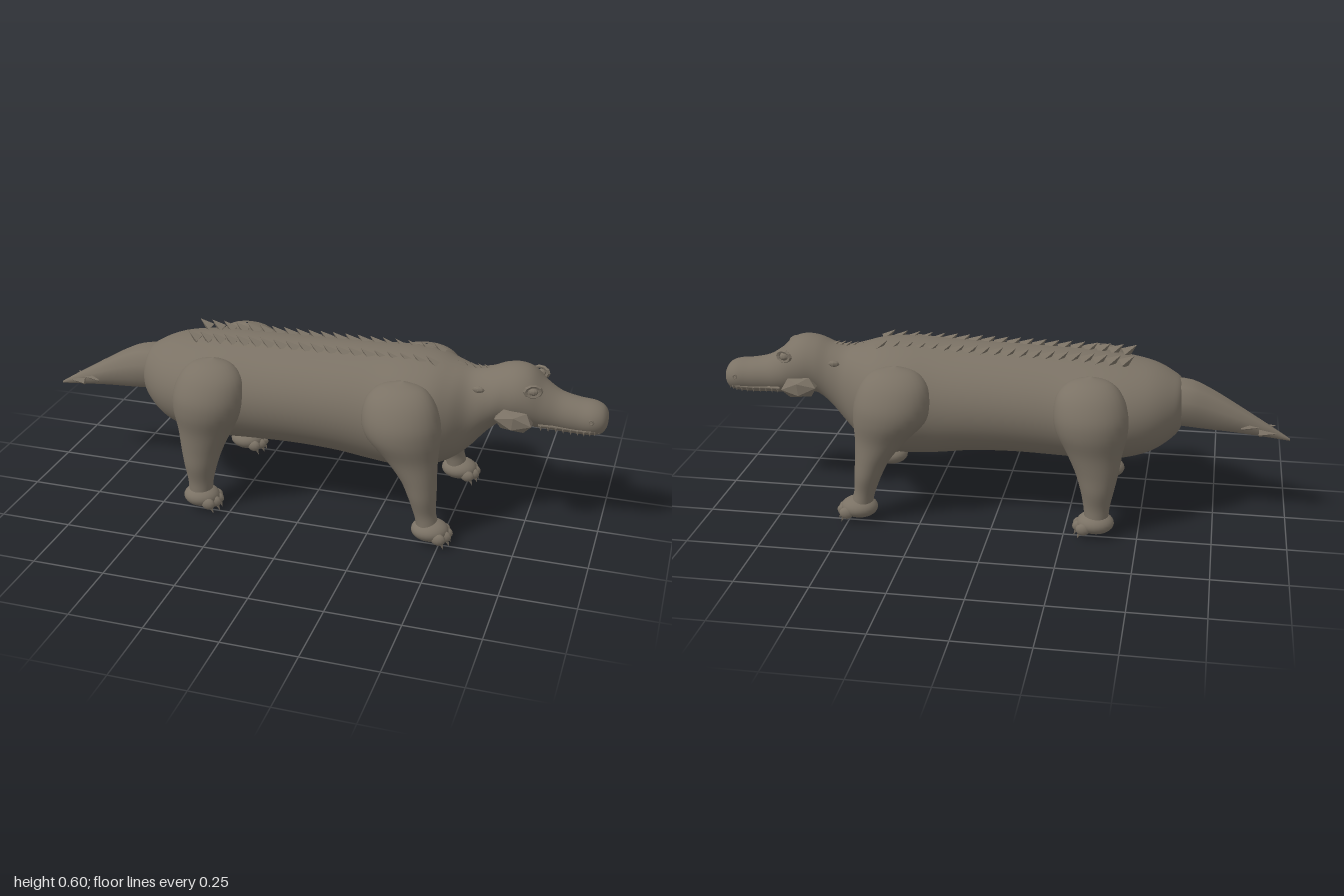
import * as THREE from 'three';

const hide = new THREE.MeshStandardMaterial({ color: 0x7b7265 });
hide.name = 'hide';
const hideFaceted = hide.clone();
hideFaceted.name = 'hideFaceted';
hideFaceted.flatShading = true;

// Smooth skin through elliptical rings [x, y, z, r1, r2].
// axis 'x': r1 is height, r2 is depth; axis 'y' (listed top to bottom): r1 is along x.
function loft(rows, axis, steps, sides) {
  const mid = new THREE.CatmullRomCurve3(rows.map(r => new THREE.Vector3(r[0], r[1], r[2])), false, 'catmullrom', 0.5);
  const rad = new THREE.CatmullRomCurve3(rows.map(r => new THREE.Vector3(r[3], r[4], 0)), false, 'catmullrom', 0.5);
  const pos = [], idx = [];
  for (let i = 0; i <= steps; i++) {
    const c = mid.getPoint(i / steps), r = rad.getPoint(i / steps);
    for (let j = 0; j < sides; j++) {
      const a = (j / sides) * Math.PI * 2, u = Math.cos(a) * Math.max(r.x, 0), w = Math.sin(a) * Math.max(r.y, 0);
      pos.push(c.x + (axis === 'y' ? u : 0), c.y + (axis === 'x' ? u : 0), c.z + w);
      if (i < steps) {
        const k = (j + 1) % sides, p = i * sides + j, q = i * sides + k;
        idx.push(p, q, p + sides, q, q + sides, p + sides);
      }
    }
  }
  const g = new THREE.BufferGeometry();
  g.setAttribute('position', new THREE.Float32BufferAttribute(pos, 3));
  g.setIndex(idx);
  g.computeVertexNormals();
  return g;
}

export function createModel() {
  const model = new THREE.Group();
  model.name = 'reptile';

  function add(name, geo, mat = hide, p = [0, 0, 0], s = [1, 1, 1], parent = model) {
    const m = new THREE.Mesh(geo, mat);
    m.name = name;
    m.position.set(...p);
    m.scale.set(...s);
    parent.add(m);
    return m;
  }
  const up = new THREE.Vector3(0, 1, 0);
  function spike(name, p, dir, length, radius, sides = 4, parent = model) {
    const m = add(name, new THREE.ConeGeometry(radius, length, sides), hideFaceted, p, [1, 1, 1], parent);
    m.quaternion.setFromUnitVectors(up, new THREE.Vector3(...dir).normalize());
    return m;
  }
  // Rings given as [x, bottom, top, half width]
  const spans = rows => rows.map(([x, b, t, w]) => [x, (b + t) / 2, 0, (t - b) / 2, w]);

  // Trunk, neck, skull and snout in one skin
  add('body', loft(spans([
    [-0.632, 0.40, 0.42, 0.005], [-0.625, 0.33, 0.485, 0.085], [-0.59, 0.285, 0.515, 0.135],
    [-0.52, 0.24, 0.545, 0.19], [-0.42, 0.215, 0.562, 0.23], [-0.32, 0.21, 0.572, 0.24],
    [-0.2, 0.21, 0.578, 0.222], [-0.05, 0.212, 0.582, 0.216], [0.1, 0.205, 0.586, 0.216],
    [0.22, 0.19, 0.59, 0.22], [0.33, 0.185, 0.592, 0.235], [0.42, 0.198, 0.585, 0.22],
    [0.49, 0.225, 0.568, 0.17], [0.545, 0.27, 0.556, 0.12], [0.6, 0.335, 0.563, 0.103],
    [0.65, 0.378, 0.582, 0.104], [0.7, 0.382, 0.588, 0.107], [0.745, 0.377, 0.575, 0.1],
    [0.79, 0.373, 0.535, 0.084], [0.84, 0.37, 0.505, 0.07], [0.9, 0.368, 0.491, 0.066],
    [0.95, 0.37, 0.485, 0.066], [0.98, 0.378, 0.473, 0.054], [0.995, 0.397, 0.453, 0.034],
    [1.0, 0.42, 0.432, 0.004],
  ]), 'x', 120, 48), hide);

  // Tapering, slightly faceted tail
  add('tail', loft(spans([
    [-0.997, 0.292, 0.3, 0.002], [-0.93, 0.3, 0.343, 0.018], [-0.8, 0.314, 0.422, 0.05],
    [-0.72, 0.319, 0.468, 0.067], [-0.65, 0.326, 0.497, 0.083], [-0.56, 0.335, 0.5, 0.09],
  ]), 'x', 14, 10), hide);

  for (const s of [1, -1]) {
    const side = s > 0 ? 'Left' : 'Right';

    // Legs with shoulder and hip bulges
    const fore = [
      [0.34, 0.548, 0.17, 0.004, 0.004], [0.34, 0.53, 0.18, 0.075, 0.05], [0.34, 0.49, 0.192, 0.115, 0.083],
      [0.345, 0.43, 0.2, 0.132, 0.105], [0.355, 0.37, 0.204, 0.127, 0.105], [0.385, 0.3, 0.21, 0.092, 0.082],
      [0.415, 0.23, 0.218, 0.062, 0.07], [0.432, 0.17, 0.226, 0.048, 0.06], [0.443, 0.115, 0.232, 0.038, 0.044],
      [0.452, 0.08, 0.234, 0.037, 0.042], [0.46, 0.04, 0.236, 0.04, 0.045],
    ];
    const hind = [
      [-0.325, 0.548, 0.17, 0.004, 0.004], [-0.325, 0.53, 0.18, 0.07, 0.05], [-0.325, 0.49, 0.192, 0.11, 0.083],
      [-0.33, 0.43, 0.2, 0.127, 0.105], [-0.335, 0.37, 0.204, 0.122, 0.105], [-0.345, 0.3, 0.21, 0.096, 0.084],
      [-0.356, 0.23, 0.218, 0.074, 0.07], [-0.36, 0.17, 0.226, 0.058, 0.06], [-0.36, 0.115, 0.232, 0.046, 0.044],
      [-0.36, 0.08, 0.234, 0.042, 0.042], [-0.36, 0.04, 0.236, 0.04, 0.045],
    ];
    for (const [name, rows, fx] of [['front', fore, 0.465], ['hind', hind, -0.357]]) {
      const leg = new THREE.Group();
      leg.name = `${name}${side}Leg`;
      model.add(leg);
      add('limb', loft(rows.map(([x, y, z, a, b]) => [x, y, s * z, a, b]), 'y', 44, 28), hide, [0, 0, 0], [1, 1, 1], leg);
      add('foot', new THREE.SphereGeometry(1, 24, 16), hide, [fx, 0.049, s * 0.236], [0.064, 0.037, 0.057], leg);
      // Four toes, each with a claw
      for (let i = 0; i < 4; i++) {
        const z = s * (0.196 + i * 0.027), x = fx + (i === 1 || i === 2 ? 0.052 : 0.038);
        add('toe', new THREE.SphereGeometry(1, 12, 8), hide, [x, 0.037, z], [0.025, 0.021, 0.015], leg);
        spike('claw', [x + 0.014, 0.016, z], [0.35, -1, 0], 0.03, 0.009, 5, leg);
      }
    }

    // Faceted cheek lumps
    const cheek = add(`cheek${side}`, new THREE.IcosahedronGeometry(1, 0), hideFaceted, [0.702, 0.425, s * 0.102], [0.073, 0.041, 0.034]);
    cheek.rotation.z = -0.1;

    // Eye with a raised lid ring
    add(`eye${side}`, new THREE.SphereGeometry(1, 10, 8), hideFaceted, [0.757, 0.529, s * 0.083], [0.017, 0.013, 0.012]);
    const lid = add(`eyelid${side}`, new THREE.TorusGeometry(0.022, 0.007, 5, 10), hideFaceted, [0.757, 0.531, s * 0.086], [1.15, 0.85, 1]);
    lid.rotation.y = s * 0.3;

    // Ear and nostril
    add(`ear${side}`, new THREE.SphereGeometry(1, 8, 6), hideFaceted, [0.578, 0.515, s * 0.088], [0.02, 0.011, 0.01]);
    add(`nostril${side}`, new THREE.TorusGeometry(0.007, 0.003, 5, 8), hide, [0.95, 0.437, s * 0.065]);

    // Lip ridge and teeth
    const lip = new THREE.CatmullRomCurve3([[0.78, 0.41, 0.081], [0.84, 0.402, 0.061], [0.9, 0.398, 0.056],
      [0.95, 0.4, 0.055], [0.985, 0.404, 0.035]].map(p => new THREE.Vector3(p[0], p[1], s * p[2])));
    add(`lip${side}`, new THREE.TubeGeometry(lip, 20, 0.005, 6), hide);
    for (let i = 0; i < 10; i++) {
      const p = lip.getPoint(0.04 + i * 0.1);
      spike('tooth', [p.x, p.y - 0.009, p.z + s * 0.002], [0, -1, 0], 0.018, 0.006);
    }

    // Row of back-swept spikes, slimmer toward the shoulders
    for (let i = 0; i < 20; i++) {
      const x = -0.44 + i * 0.0447;
      const m = spike('backSpike', [x, 0.575 + 0.012 * (i / 19), s * 0.058], [-0.75, 0.6, 0], 0.05, 0.021, 4);
      if (i > 14) m.scale.set(0.75, 1, 0.75);
    }

    // Tail tip spikes
    for (const x of [-0.92, -0.86]) spike('tailSpike', [x, 0.334 - (x + 0.9) * -0.3, s * 0.034], [-1, 0.1, s * 0.15], 0.06, 0.015);
  }

  // Small crest on the nape
  for (let i = 0; i < 5; i++) spike('napeSpike', [0.5 + i * 0.022, 0.563, 0], [-0.8, 0.6, 0], 0.03, 0.008);

  return model;
}
